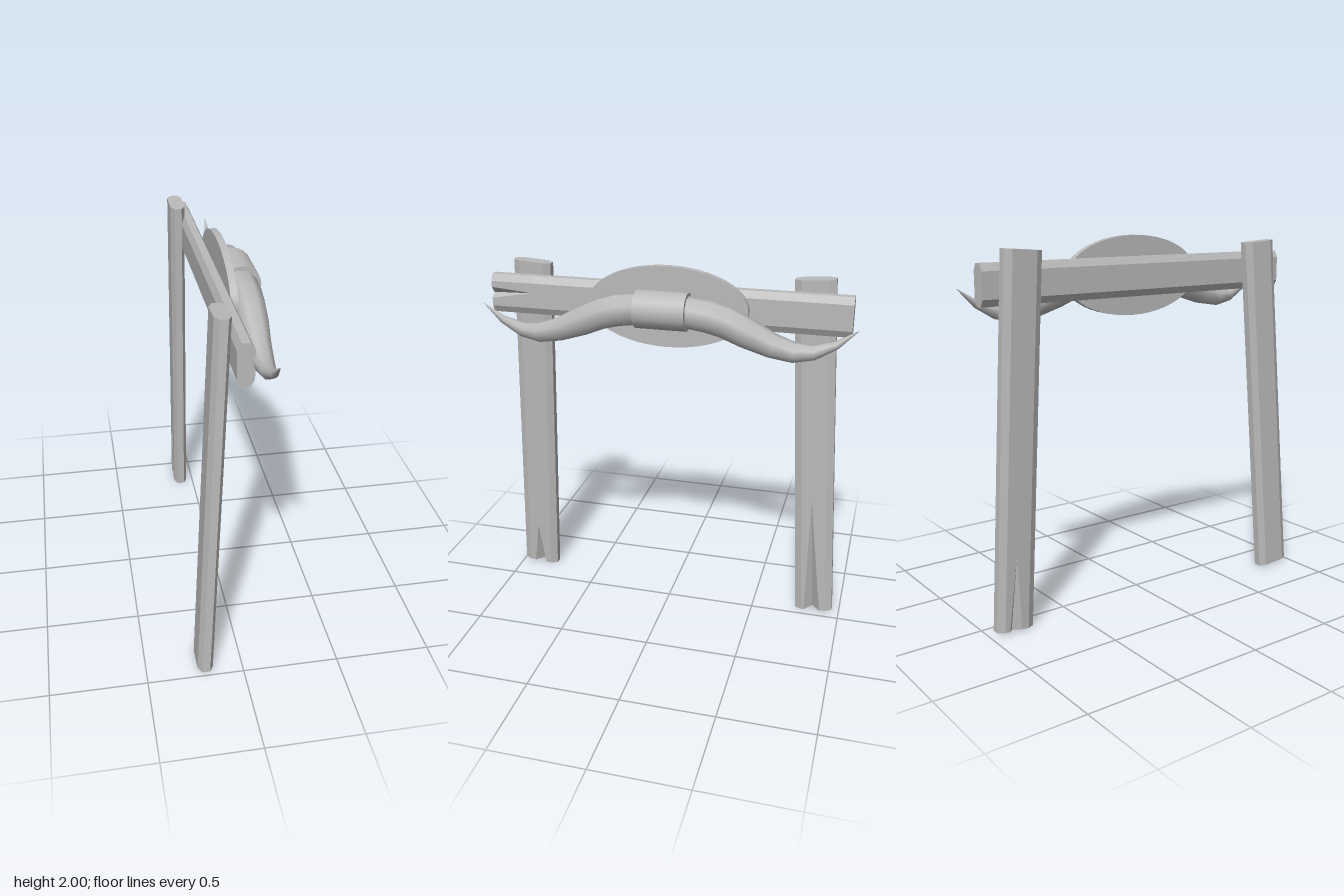
import * as THREE from 'three';

const grey = new THREE.MeshStandardMaterial({ color: 0xbababa });
grey.name = 'plain grey';

// Chamfered plank lofted along t (0..1), with a tapering split at its t = 0 end.
// A split is { hi, lo, apex, tip, depth, len }: edges across the face, tip position, depth and length.
// place(u, w, t) maps width, thickness and length to space, with u x w pointing along t.
function plank(name, place, front, back) {
  const H = 0.105, W = 0.04, cu = 0.037, cw = 0.02;
  const split = (s, t, side) => {
    const k = Math.max(0, 1 - t / s.len);
    const at = (u) => s.tip + (u - s.tip) * k;
    return [[at(s.hi), side * W], [at(s.apex), side * (W - s.depth * k)], [at(s.lo), side * W]];
  };
  const ring = (t) => [
    [H, -W + cw], [H, W - cw], [H - cu, W],
    ...split(front, t, 1),
    [-H + cu, W], [-H, W - cw], [-H, -W + cw], [-H + cu, -W],
    ...(back ? split(back, t, -1).reverse() : []),
    [H - cu, -W],
  ];
  const stops = [0, front.len, 1];
  if (back) stops.push(back.len);
  stops.sort((a, b) => a - b);
  const rings = stops.map(ring);
  const points = rings.map((r, s) => r.map(([u, w]) => place(u, w, stops[s])));
  const pos = [];
  const tri = (a, b, c) => [a, b, c].forEach((p) => pos.push(p.x, p.y, p.z));
  for (let s = 0; s + 1 < points.length; s++) {
    const lower = points[s], upper = points[s + 1], n = lower.length;
    for (let i = 0; i < n; i++) {
      const j = (i + 1) % n;
      tri(lower[i], lower[j], upper[j]);
      tri(lower[i], upper[j], upper[i]);
    }
  }
  // end caps
  for (const s of [0, points.length - 1]) {
    const outline = rings[s].map(([u, w]) => new THREE.Vector2(u, w));
    for (const [a, b, c] of THREE.ShapeUtils.triangulateShape(outline, [])) {
      const p = points[s];
      if (s === 0) tri(p[a], p[c], p[b]);
      else tri(p[a], p[b], p[c]);
    }
  }
  const geo = new THREE.BufferGeometry();
  geo.setAttribute('position', new THREE.Float32BufferAttribute(pos, 3));
  geo.computeVertexNormals();
  const mesh = new THREE.Mesh(geo, grey);
  mesh.name = name;
  return mesh;
}

// Pair of horns as one tapering tube running along z
function horns() {
  const half = [ // z, y, radius
    [0.13, 1.79, 0.08], [0.24, 1.777, 0.082], [0.33, 1.752, 0.08], [0.44, 1.703, 0.075],
    [0.57, 1.648, 0.061], [0.68, 1.622, 0.051], [0.78, 1.63, 0.037], [0.89, 1.678, 0.02], [0.995, 1.76, 0.001],
  ];
  const path = [...half.map(([z, y, r]) => [-z, y, r]).reverse(), ...half];
  const sides = 8, pos = [], index = [];
  path.forEach(([z, y, r], i) => {
    const a = path[Math.max(0, i - 1)], b = path[Math.min(path.length - 1, i + 1)];
    const len = Math.hypot(b[0] - a[0], b[1] - a[1]);
    const tz = (b[0] - a[0]) / len, ty = (b[1] - a[1]) / len;
    for (let k = 0; k < sides; k++) {
      const ang = ((k + 0.5) / sides) * Math.PI * 2;
      const cx = Math.cos(ang) * r * 1.04, cb = Math.sin(ang) * r * 1.04;
      pos.push(0.13 + cx, y + tz * cb, z - ty * cb);
    }
    if (i === 0) return;
    for (let k = 0; k < sides; k++) {
      const p = (i - 1) * sides + k, q = (i - 1) * sides + ((k + 1) % sides);
      index.push(p, q, q + sides, p, q + sides, p + sides);
    }
  });
  const geo = new THREE.BufferGeometry();
  geo.setAttribute('position', new THREE.Float32BufferAttribute(pos, 3));
  geo.setIndex(index);
  geo.computeVertexNormals();
  const mesh = new THREE.Mesh(geo, grey);
  mesh.name = 'horns';
  return mesh;
}

export function createModel() {
  const group = new THREE.Group();
  group.name = 'hornGate';
  const lerp = THREE.MathUtils.lerp;

  // Leaning posts: x and z of the centre line run from bottom to top
  const post = (x0, x1, z0, z1) => (u, w, t) => new THREE.Vector3(
    lerp(x0, x1, t) + w,
    0.007 + 1.945 * t + 0.067 * Math.sign(z0) * u,
    lerp(z0, z1, t) + u,
  );
  group.add(plank('frontPost', post(-0.195, -0.097, 0.885, 0.79),
    { hi: 0.035, lo: -0.035, apex: -0.01, tip: 0.01, depth: 0.055, len: 0.14 }));
  group.add(plank('backPost', post(-0.08, -0.08, -0.855, -0.747),
    { hi: 0.055, lo: -0.035, apex: 0.01, tip: 0.01, depth: 0.05, len: 0.365 },
    { hi: 0.03, lo: -0.04, apex: -0.02, tip: -0.01, depth: 0.022, len: 0.22 }));

  // Crossbeam
  group.add(plank('crossbeam', (u, w, t) => new THREE.Vector3(-0.02 + w, 1.785 + u, lerp(0.995, -0.953, t)),
    { hi: 0.035, lo: -0.025, apex: 0, tip: 0.015, depth: 0.03, len: 0.12 }));

  // Oval backing board
  const board = new THREE.Mesh(new THREE.CylinderGeometry(1, 1, 1, 48), grey);
  board.name = 'ovalBoard';
  board.rotation.z = -Math.PI / 2;
  board.scale.set(0.214, 0.037, 0.43);
  board.position.set(0.04, 1.786, 0);
  group.add(board);

  group.add(horns());

  // Wrap around the middle of the horns
  const band = new THREE.Mesh(new THREE.CylinderGeometry(0.099, 0.099, 0.27, 20), grey);
  band.name = 'hornBand';
  band.rotation.x = Math.PI / 2;
  band.position.set(0.134, 1.791, 0.003);
  group.add(band);

  return group;
}
